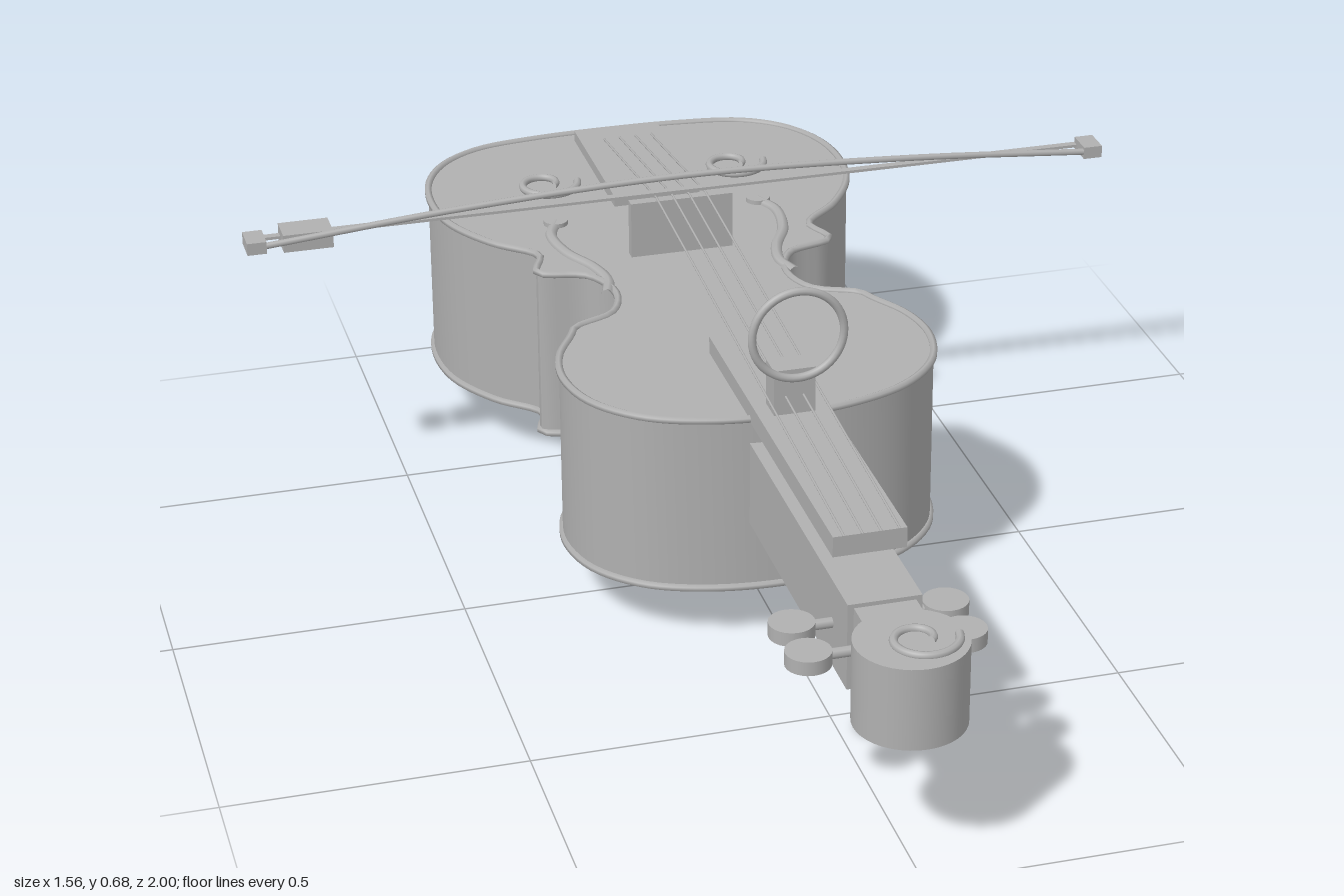
import * as THREE from 'three';
import { toCreasedNormals } from 'three/addons/utils/BufferGeometryUtils.js';

const grey = new THREE.MeshStandardMaterial({ color: 0xb0b0b0 });
grey.name = 'plain grey';

export function createModel() {
  const model = new THREE.Group();
  model.name = 'violinWithBow';

  const add = (name, geometry, x = 0, y = 0, z = 0) => {
    const mesh = new THREE.Mesh(geometry, grey);
    mesh.name = name;
    mesh.position.set(x, y, z);
    model.add(mesh);
    return mesh;
  };
  // box given by its limits on each axis
  const box = (name, x0, x1, y0, y1, z0, z1) =>
    add(name, new THREE.BoxGeometry(x1 - x0, y1 - y0, z1 - z0), (x0 + x1) / 2, (y0 + y1) / 2, (z0 + z1) / 2);
  const curveOf = (pts, closed = false) =>
    new THREE.CatmullRomCurve3(pts.map((p) => new THREE.Vector3(...p)), closed, 'centripetal');
  const tube = (name, pts, radius, segments = 40) =>
    add(name, new THREE.TubeGeometry(curveOf(pts), segments, radius, 8));
  // thin straight rod between two points
  const rod = (name, a, b, radius) => {
    const path = new THREE.LineCurve3(new THREE.Vector3(...a), new THREE.Vector3(...b));
    return add(name, new THREE.TubeGeometry(path, 1, radius, 8));
  };

  // body outline, one half as [x, z] from the broad end to the neck end
  const half = [
    [0.14, -0.985], [0.255, -0.965], [0.325, -0.92], [0.37, -0.85], [0.388, -0.76], [0.375, -0.65],
    [0.32, -0.55], [0.25, -0.475], [0.268, -0.405], [0.185, -0.37], [0.155, -0.29], [0.18, -0.215],
    [0.255, -0.175], [0.27, -0.145], [0.307, -0.075], [0.32, 0.01], [0.295, 0.105], [0.225, 0.18], [0.12, 0.222],
  ];
  const outline = [
    [0, -0.99], ...half, [0, 0.235],
    ...half.slice().reverse().map(([x, z]) => [-x, z]),
  ];
  const loop = curveOf(outline.map(([x, z]) => [x, 0, z]), true);
  const shape = new THREE.Shape(loop.getPoints(200).slice(0, -1).map((p) => new THREE.Vector2(p.x, -p.z)));
  const bodyGeometry = new THREE.ExtrudeGeometry(shape, { depth: 0.315, bevelEnabled: false });
  bodyGeometry.rotateX(-Math.PI / 2);
  add('body', toCreasedNormals(bodyGeometry, 0.5), 0, 0.105, 0);

  // rims round the belly and the back
  for (const [name, y] of [['bellyRim', 0.42], ['backRim', 0.105]]) {
    add(name, new THREE.TubeGeometry(loop, 200, 0.007, 6, true), 0, y, 0);
  }

  // curled ornaments on the belly and on the scroll
  const spiral = (name, cx, y, cz) => {
    const pts = [];
    for (let i = 0; i <= 20; i++) {
      const t = (i / 20) * Math.PI * 2.2;
      const r = 0.062 - 0.0065 * t;
      pts.push([cx + r * Math.cos(t), y, cz + r * Math.sin(t)]);
    }
    tube(name, pts, 0.007, 60);
  };
  spiral('leftCurl', 0.185, 0.425, -0.765);
  spiral('rightCurl', -0.172, 0.425, -0.765);

  // sound holes with their round ends
  for (const s of [1, -1]) {
    tube('soundHole', [
      [0.19, -0.6], [0.21, -0.55], [0.2, -0.47], [0.168, -0.4], [0.157, -0.34], [0.17, -0.29],
    ].map(([x, z]) => [s * x, 0.418, z]), 0.011);
    add('soundHoleEnd', new THREE.CylinderGeometry(0.022, 0.022, 0.012, 20), s * 0.19, 0.422, -0.6);
  }

  // neck, fingerboard, tailpiece and bridge
  box('neck', -0.06, 0.06, 0.225, 0.375, 0.2, 0.78);
  box('pegBox', -0.05, 0.05, 0.237, 0.368, 0.7, 0.87);
  box('fingerboard', -0.06, 0.06, 0.415, 0.45, -0.02, 0.7);
  box('tailpiece', -0.08, 0.08, 0.44, 0.46, -0.912, -0.6);
  box('bridge', -0.093, 0.093, 0.42, 0.523, -0.442, -0.423);

  // scroll
  add('scroll', new THREE.CylinderGeometry(0.09, 0.09, 0.14, 40), 0, 0.31, 0.91);
  spiral('scrollCurl', 0.012, 0.382, 0.915);

  // tuning pegs
  for (const z of [0.7, 0.79]) {
    rod('pegShaft', [-0.12, 0.3, z], [0.12, 0.3, z], 0.009);
    for (const s of [1, -1]) {
      add('pegHead', new THREE.CylinderGeometry(0.037, 0.037, 0.024, 24), s * 0.125, 0.3, z);
    }
  }

  // strings
  for (const x of [-0.045, -0.015, 0.015, 0.045]) {
    rod('stringOverNeck', [x, 0.455, 0.71], [x, 0.528, -0.43], 0.002);
    rod('stringToTailpiece', [x, 0.528, -0.43], [x, 0.478, -0.82], 0.002);
  }

  // clip with a ring on the fingerboard
  box('clip', -0.035, 0.035, 0.45, 0.53, 0.24, 0.288);
  add('clipRing', new THREE.TorusGeometry(0.077, 0.007, 10, 48), 0, 0.6, 0.305);

  // bow lying across the strings
  tube('bowStick', [
    [-0.77, 0.533, -0.4], [-0.4, 0.563, -0.4], [0, 0.578, -0.4], [0.4, 0.563, -0.4], [0.77, 0.533, -0.4],
  ], 0.006);
  box('bowHair', -0.77, 0.77, 0.53, 0.535, -0.447, -0.433);
  box('bowFrog', -0.715, -0.628, 0.518, 0.55, -0.455, -0.4);
  for (const s of [1, -1]) {
    add('bowEnd', new THREE.BoxGeometry(0.034, 0.022, 0.052), s * 0.762, 0.534, -0.42);
  }

  // curved shoulder rest under the back
  const strip = new THREE.BoxGeometry(0.075, 0.008, 0.73, 1, 1, 32);
  const p = strip.attributes.position;
  for (let i = 0; i < p.count; i++) {
    p.setY(i, p.getY(i) + 0.075 * (p.getZ(i) / 0.365) ** 2);
  }
  add('shoulderRest', toCreasedNormals(strip, 0.5), 0.232, 0.011, -0.395);
  box('shoulderRestPad', 0.18, 0.283, 0, 0.014, -0.47, -0.325);
  box('chinBlock', -0.213, 0.215, 0.05, 0.106, -0.85, -0.733);

  return model;
}
